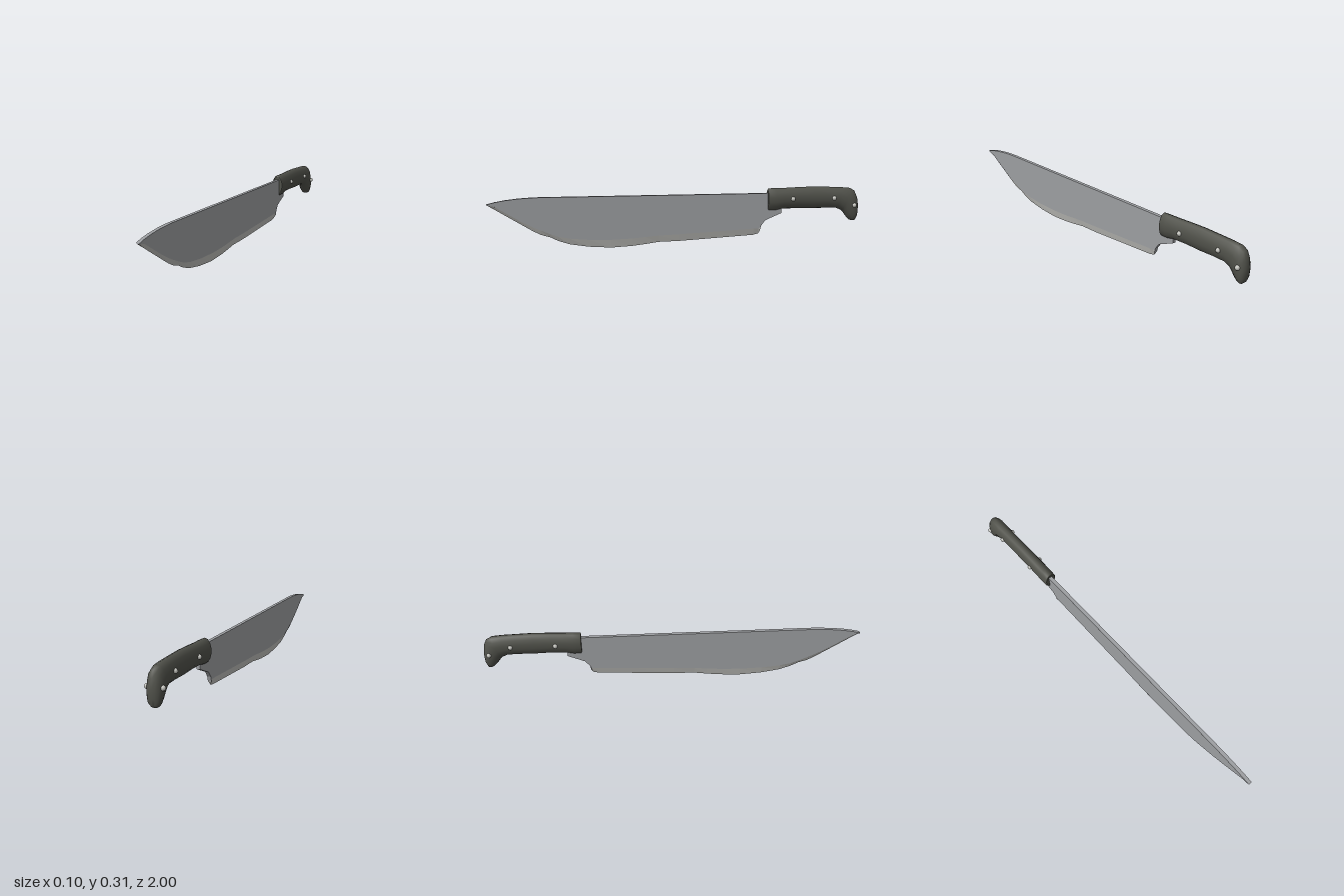
import * as THREE from 'three';

const steel = new THREE.MeshStandardMaterial({ color: 0x9c9ea1 });
steel.name = 'blade steel';
const edgeSteel = new THREE.MeshStandardMaterial({ color: 0xbdbdb9 });
edgeSteel.name = 'ground edge';
const grip = new THREE.MeshStandardMaterial({ color: 0x50514a });
grip.name = 'dark grip';
const rivetMetal = new THREE.MeshStandardMaterial({ color: 0xc4c4be });
rivetMetal.name = 'rivet metal';

const T = 0.0095; // half thickness of the blade

// Blade stations from tip to heel: z, spine y, bevel top y, edge y, edge half width
const STATIONS = [
  [1.0, 0.245, 0.243, 0.241, 0], [0.96, 0.255, 0.233, 0.217, 0], [0.91, 0.264, 0.203, 0.186, 0],
  [0.84, 0.272, 0.16, 0.143, 0], [0.77, 0.276, 0.122, 0.1, 0], [0.73, 0.277, 0.104, 0.079, 0],
  [0.68, 0.277, 0.083, 0.064, 0], [0.64, 0.277, 0.068, 0.044, 0], [0.58, 0.277, 0.056, 0.024, 0],
  [0.48, 0.277, 0.047, 0.008, 0], [0.36, 0.277, 0.044, 0.0, 0], [0.25, 0.277, 0.048, 0.006, 0],
  [0.18, 0.277, 0.054, 0.014, 0], [0.11, 0.277, 0.06, 0.024, 0], [0.0, 0.277, 0.064, 0.026, 0],
  [-0.2, 0.277, 0.074, 0.037, 0], [-0.41, 0.277, 0.085, 0.049, 0], [-0.438, 0.277, 0.085, 0.056, 0],
  [-0.446, 0.277, 0.092, 0.075, T], [-0.452, 0.277, 0.1, 0.1, T], [-0.475, 0.277, 0.13, 0.13, T],
  [-0.52, 0.277, 0.149, 0.149, T], [-0.565, 0.277, 0.168, 0.168, T],
];

function flatMesh(name, positions, material) {
  const g = new THREE.BufferGeometry();
  g.setAttribute('position', new THREE.Float32BufferAttribute(positions, 3));
  g.computeVertexNormals();
  const mesh = new THREE.Mesh(g, material);
  mesh.name = name;
  return mesh;
}

function makeBlade() {
  const body = [], bevel = [];
  const quad = (out, a, b, c, d) => out.push(...a, ...b, ...c, ...a, ...c, ...d);
  // Ring runs: spine left, bevel left, edge left, edge right, bevel right, spine right
  const ring = ([z, s, b, e, w]) => [[T, s, z], [T, b, z], [w, e, z], [-w, e, z], [-T, b, z], [-T, s, z]];
  for (let i = 0; i < STATIONS.length - 1; i++) {
    const p = ring(STATIONS[i]), q = ring(STATIONS[i + 1]);
    const ground = STATIONS[i][4] === 0;
    for (let k = 0; k < 6; k++) {
      const n = (k + 1) % 6;
      const out = ground && k >= 1 && k <= 3 ? bevel : body;
      quad(out, p[k], p[n], q[n], q[k]);
    }
  }
  // Closed rear end
  const r = ring(STATIONS[STATIONS.length - 1]);
  quad(body, r[0], r[1], r[4], r[5]);
  const blade = new THREE.Group();
  blade.name = 'blade';
  blade.add(flatMesh('bladeBody', body, steel), flatMesh('cuttingBevel', bevel, edgeSteel));
  return blade;
}

// Handle rings: top z, top y, bottom z, bottom y, half width
const HANDLE = [
  [-0.488, 0.296, -0.488, 0.19, 0.029], [-0.492, 0.303, -0.492, 0.181, 0.034],
  [-0.53, 0.304, -0.53, 0.181, 0.035], [-0.58, 0.304, -0.57, 0.19, 0.035],
  [-0.65, 0.307, -0.65, 0.192, 0.034], [-0.74, 0.309, -0.74, 0.189, 0.034],
  [-0.83, 0.306, -0.82, 0.191, 0.034], [-0.9, 0.303, -0.875, 0.189, 0.036],
  [-0.95, 0.298, -0.905, 0.176, 0.038], [-0.977, 0.283, -0.92, 0.158, 0.039],
  [-0.992, 0.25, -0.934, 0.139, 0.038], [-0.999, 0.205, -0.95, 0.123, 0.035],
  [-0.997, 0.16, -0.965, 0.117, 0.028], [-0.988, 0.13, -0.975, 0.117, 0.015],
];

function makeHandle() {
  const N = 14, pos = [], idx = [];
  for (const [tz, ty, bz, by, w] of HANDLE) {
    for (let k = 0; k < N; k++) {
      const a = (k / N) * Math.PI * 2, m = (1 + Math.cos(a)) / 2;
      pos.push(w * Math.sin(a), by + (ty - by) * m, bz + (tz - bz) * m);
    }
  }
  const last = HANDLE.length - 1;
  for (let i = 0; i < last; i++) {
    for (let k = 0; k < N; k++) {
      const n = (k + 1) % N, a = i * N + k, b = i * N + n;
      idx.push(a, b, b + N, a, b + N, a + N);
    }
  }
  // Front cap gets its own vertices for a sharp rim; the butt cap blends in
  const front = pos.length / 3;
  pos.push(...pos.slice(0, N * 3));
  for (let k = 1; k < N - 1; k++) {
    idx.push(front, front + k + 1, front + k);
    idx.push(last * N, last * N + k, last * N + k + 1);
  }
  const g = new THREE.BufferGeometry();
  g.setAttribute('position', new THREE.Float32BufferAttribute(pos, 3));
  g.setIndex(idx);
  g.computeVertexNormals();
  const mesh = new THREE.Mesh(g, grip);
  mesh.name = 'handle';
  return mesh;
}

export function createModel() {
  const model = new THREE.Group();
  model.name = 'machete';
  model.add(makeBlade(), makeHandle());

  // Three rivets on each side of the handle: x, y, z
  const rivetGeometry = new THREE.SphereGeometry(0.0125, 8, 6);
  for (const [x, y, z] of [[0.034, 0.247, -0.622], [0.034, 0.247, -0.853], [0.038, 0.206, -0.967]]) {
    for (const side of [1, -1]) {
      const rivet = new THREE.Mesh(rivetGeometry, rivetMetal);
      rivet.name = side > 0 ? 'leftRivet' : 'rightRivet';
      rivet.position.set(side * x, y, z);
      model.add(rivet);
    }
  }
  return model;
}
